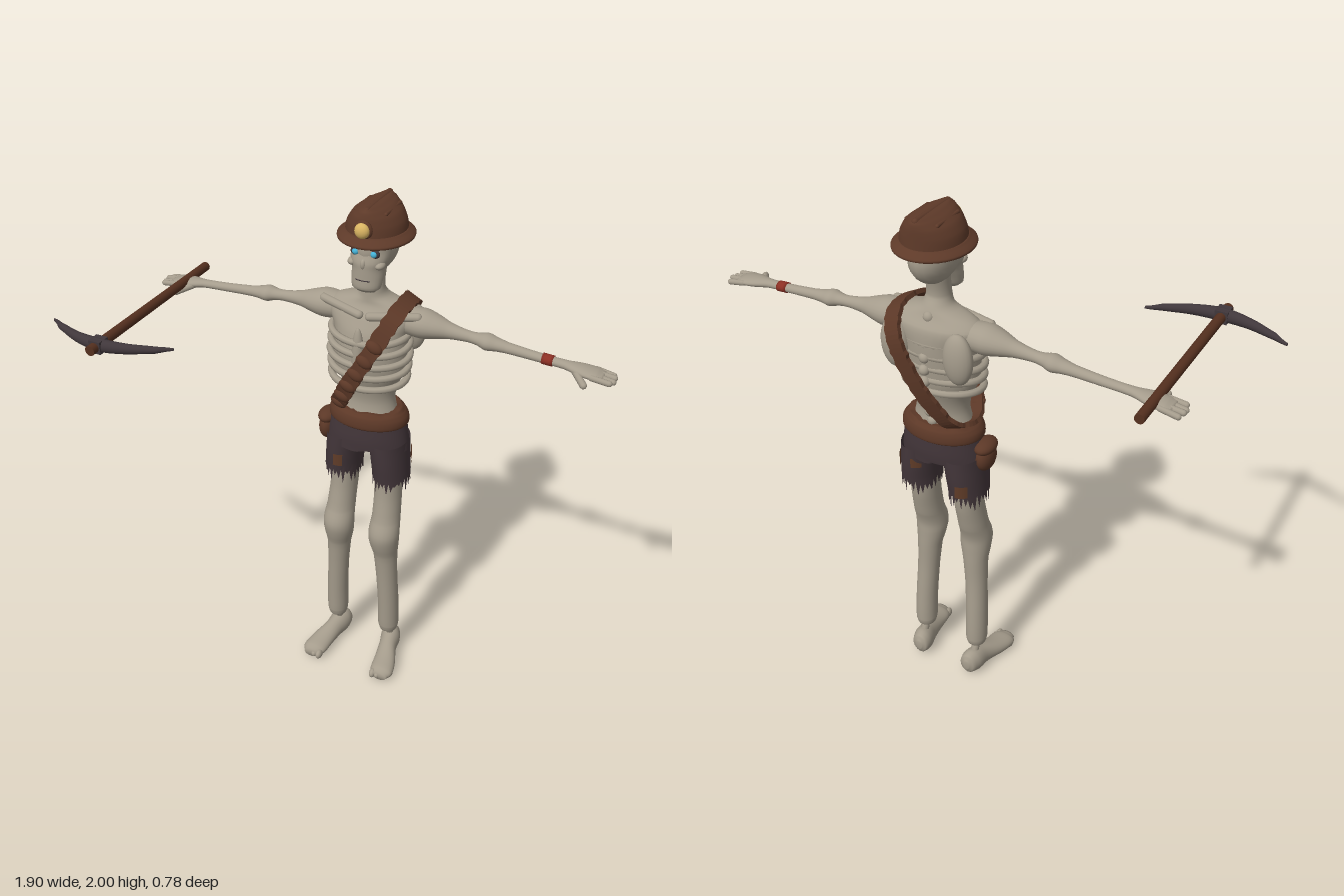
import * as THREE from 'three';

const paint = (name, color, side = THREE.FrontSide) => {
  const m = new THREE.MeshStandardMaterial({ color, side });
  m.name = name;
  return m;
};
const V = (x, y, z) => new THREE.Vector3(x, y, z);
const noise = (k) => { const s = Math.sin(k * 127.1 + 3.7) * 43758.5453; return s - Math.floor(s); };

// Smooth skin over elliptical sections [t, a, ra, b, rb]; t runs upward along the axis.
// Axis x: a = y, b = z.  Axis y: a = z, b = x.  Axis z: a = x, b = y.
function loft(axis, sections, { n = 24, steps = 4, capped = true, warp = null } = {}) {
  const pos = [], idx = [], rings = (sections.length - 1) * steps + 1;
  const at = (i) => sections[Math.min(Math.max(i, 0), sections.length - 1)];
  const put = (t, a, b) => pos.push(...(axis === 'x' ? [t, a, b] : axis === 'y' ? [b, t, a] : [a, b, t]));
  for (let r = 0; r < rings; r++) {
    const i = Math.min(Math.floor(r / steps), sections.length - 2), f = r / steps - i;
    const [t, a, ra, b, rb] = [0, 1, 2, 3, 4].map((c) => {
      const [p, q, s, u] = [at(i - 1)[c], at(i)[c], at(i + 1)[c], at(i + 2)[c]];
      if (c === 0) return q + (s - q) * f;
      return q + 0.5 * f * (s - p + f * (2 * p - 5 * q + 4 * s - u + f * (3 * (q - s) + u - p)));
    });
    for (let j = 0; j < n; j++) {
      const w = (j / n) * Math.PI * 2;
      put(t + (warp ? warp(r, j, rings) : 0), a + Math.max(ra, 0.0005) * Math.cos(w), b + Math.max(rb, 0.0005) * Math.sin(w));
    }
  }
  for (let r = 0; r < rings - 1; r++) for (let j = 0; j < n; j++) {
    const p = r * n + j, q = r * n + (j + 1) % n;
    idx.push(p, q, p + n, q, q + n, p + n);
  }
  if (capped) {
    const first = sections[0], last = at(99), c = rings * n, top = (rings - 1) * n;
    put(first[0], first[1], first[3]);
    put(last[0], last[1], last[3]);
    for (let j = 0; j < n; j++) {
      const k = (j + 1) % n;
      idx.push(c, k, j, c + 1, top + j, top + k);
    }
  }
  const g = new THREE.BufferGeometry();
  g.setAttribute('position', new THREE.Float32BufferAttribute(pos, 3));
  g.setIndex(idx);
  g.computeVertexNormals();
  return g;
}

const ball = (x, y, z, rx, ry = rx, rz = rx) => new THREE.SphereGeometry(1, 20, 14).scale(rx, ry, rz).translate(x, y, z);

// Round-ended rod between two points
function rod(a, b, r) {
  const d = b.clone().sub(a), q = new THREE.Quaternion().setFromUnitVectors(V(0, 1, 0), d.clone().normalize());
  const mid = a.clone().add(b).multiplyScalar(0.5);
  return new THREE.CapsuleGeometry(r, d.length(), 5, 10).applyQuaternion(q).translate(mid.x, mid.y, mid.z);
}

// Reflects a geometry to the other side, keeping faces outward
function flip(g) {
  g.scale(-1, 1, 1);
  const ix = g.index;
  for (let i = 0; i < ix.count; i += 3) {
    const t = ix.getX(i);
    ix.setX(i, ix.getX(i + 1));
    ix.setX(i + 1, t);
  }
  return g;
}

export function createModel() {
  const bone = paint('bone', 0xa59c8c), leather = paint('leather', 0x5c3827), hat = paint('helmet brown', 0x5e3a29);
  const cloth = paint('dark cloth', 0x43363a, THREE.DoubleSide), patchM = paint('patch brown', 0x603c28, THREE.DoubleSide);
  const wood = paint('wood', 0x55301f), iron = paint('dark iron', 0x40373b);
  const gold = paint('lamp yellow', 0xd9b462), glow = paint('eye blue', 0x45b4da), red = paint('band red', 0x8c3024);

  const root = new THREE.Group(), body = new THREE.Group();
  body.name = 'skeletonMiner';
  body.position.x = 0.065;
  root.add(body);
  const add = (name, geo, mat, parent = body) => {
    const m = new THREE.Mesh(geo, mat);
    m.name = name;
    parent.add(m);
    return m;
  };
  const pair = (name, make, mat) => {
    add('left ' + name, make(), mat);
    add('right ' + name, flip(make()), mat);
  };

  // Torso, neck and ribs
  add('torso', loft('y', [
    [1.17, -0.22, 0.09, 0, 0.12], [1.25, -0.22, 0.075, 0, 0.1], [1.31, -0.22, 0.083, 0, 0.105], [1.38, -0.22, 0.105, 0, 0.135],
    [1.46, -0.22, 0.113, 0, 0.14], [1.54, -0.228, 0.108, 0, 0.145], [1.6, -0.24, 0.09, 0, 0.175], [1.632, -0.24, 0.065, 0, 0.14],
    [1.66, -0.235, 0.055, 0, 0.06], [1.7, -0.225, 0.042, 0, 0.042], [1.8, -0.24, 0.045, 0, 0.045]], { n: 36 }), bone);
  for (let i = 0; i < 5; i++) {
    const pts = [], rx = 0.15 - 0.003 * Math.abs(i - 2);
    for (let k = 0; k < 20; k++) {
      const w = (k / 20) * Math.PI * 2;
      pts.push(V(rx * Math.sin(w), 1.355 + i * 0.045 - 0.014 * Math.cos(w), -0.212 + 0.112 * Math.cos(w)));
    }
    add('rib', new THREE.TubeGeometry(new THREE.CatmullRomCurve3(pts, true), 48, 0.013, 8, true), bone);
  }
  add('sternum', ball(0, 1.47, -0.105, 0.022, 0.11, 0.018), bone);
  for (let i = 0; i < 10; i++) add('vertebra', ball(0, 1.23 + i * 0.045, -0.293 - 0.04 * Math.sin((i / 9) * Math.PI), 0.02, 0.02, 0.018), bone);
  pair('shoulderBlade', () => ball(0.12, 1.52, -0.315, 0.055, 0.095, 0.035), bone);
  pair('collarbone', () => rod(V(0.02, 1.605, -0.155), V(0.18, 1.615, -0.205), 0.016), bone);

  // Arms and hands
  pair('arm', () => loft('x', [
    [0.13, 1.58, 0.048, -0.24, 0.055], [0.19, 1.58, 0.052, -0.24, 0.06], [0.235, 1.578, 0.042, -0.24, 0.05], [0.29, 1.573, 0.028, -0.24, 0.03],
    [0.36, 1.568, 0.02, -0.24, 0.021], [0.395, 1.566, 0.022, -0.24, 0.026], [0.425, 1.564, 0.029, -0.24, 0.036], [0.46, 1.561, 0.023, -0.24, 0.028],
    [0.5, 1.557, 0.019, -0.24, 0.021], [0.6, 1.55, 0.016, -0.239, 0.018], [0.7, 1.545, 0.015, -0.238, 0.02], [0.76, 1.54, 0.017, -0.237, 0.038],
    [0.81, 1.536, 0.014, -0.237, 0.042], [0.835, 1.533, 0.008, -0.237, 0.038]]), bone);
  for (let f = 0; f < 4; f++) {
    const z = -0.27 + f * 0.022, end = 0.872 - 0.008 * Math.abs(f - 1.5);
    pair('finger', () => rod(V(0.8, 1.536, z), V(end, 1.525 + 0.004 * (f % 2), z), 0.0105), bone);
  }
  pair('thumb', () => rod(V(0.74, 1.537, -0.22), V(0.785, 1.523, -0.166), 0.012), bone);
  add('wristBand', loft('x', [[0.622, 1.549, 0.0185, -0.239, 0.0215], [0.66, 1.547, 0.0185, -0.239, 0.0215]]), red);

  // Skull
  add('cranium', ball(0, 1.845, -0.246, 0.076, 0.1, 0.109), bone);
  add('face', loft('y', [
    [1.7, -0.165, 0.02, 0, 0.035], [1.715, -0.167, 0.038, 0, 0.052], [1.75, -0.175, 0.046, 0, 0.057], [1.785, -0.185, 0.056, 0, 0.058],
    [1.81, -0.195, 0.065, 0, 0.068], [1.845, -0.21, 0.068, 0, 0.072], [1.9, -0.225, 0.085, 0, 0.072]]), bone);
  add('nose', ball(0, 1.805, -0.138, 0.011, 0.02, 0.013), bone);
  add('mouth', ball(0, 1.748, -0.134, 0.028, 0.003, 0.006), iron);
  add('brow', rod(V(-0.045, 1.872, -0.155), V(0.045, 1.872, -0.155), 0.014), bone);
  pair('cheekbone', () => ball(0.05, 1.8, -0.165, 0.018, 0.014, 0.025), bone);
  pair('eyeSocket', () => ball(0.034, 1.843, -0.152, 0.02, 0.016, 0.01), iron);
  pair('eye', () => ball(0.034, 1.843, -0.146, 0.012, 0.011, 0.009), glow);

  // Miner's helmet with a front-to-back ridge and lamp
  add('helmetCrown', loft('y', [
    [1.885, -0.245, 0.12, 0, 0.108], [1.93, -0.246, 0.118, 0, 0.1], [1.962, -0.248, 0.115, 0, 0.08],
    [1.983, -0.25, 0.11, 0, 0.052], [1.994, -0.252, 0.1, 0, 0.025], [1.996, -0.252, 0.08, 0, 0.004]], { n: 36 }), hat);
  add('helmetBrim', loft('y', [
    [1.872, -0.243, 0.138, 0, 0.124], [1.876, -0.243, 0.147, 0, 0.132], [1.886, -0.243, 0.145, 0, 0.13], [1.905, -0.244, 0.118, 0, 0.105]], { n: 36 }), hat);
  add('helmetRidge', rod(V(0, 1.986, -0.16), V(0, 1.988, -0.345), 0.012), hat);
  pair('helmetRib', () => rod(V(0.055, 1.972, -0.19), V(0.055, 1.972, -0.31), 0.007), hat);
  add('lampMount', ball(0, 1.93, -0.132, 0.034, 0.034, 0.014), leather);
  add('lamp', ball(0, 1.93, -0.122, 0.027, 0.027, 0.02), gold);

  // Legs and feet
  pair('leg', () => loft('y', [
    [0.132, -0.213, 0.022, 0.117, 0.022], [0.145, -0.213, 0.038, 0.117, 0.036], [0.175, -0.212, 0.046, 0.117, 0.042], [0.3, -0.205, 0.046, 0.115, 0.042],
    [0.45, -0.194, 0.045, 0.108, 0.043], [0.56, -0.187, 0.05, 0.102, 0.048], [0.63, -0.175, 0.06, 0.098, 0.059], [0.68, -0.173, 0.062, 0.098, 0.061],
    [0.74, -0.192, 0.06, 0.097, 0.056], [0.85, -0.212, 0.062, 0.093, 0.053], [1.0, -0.22, 0.065, 0.088, 0.055], [1.12, -0.22, 0.06, 0.08, 0.055]]), bone);
  pair('ankle', () => rod(V(0.119, 0.09, -0.235), V(0.118, 0.14, -0.217), 0.016), bone);
  pair('foot', () => loft('z', [
    [-0.292, 0.112, 0.012, 0.06, 0.02], [-0.28, 0.113, 0.033, 0.06, 0.044], [-0.245, 0.118, 0.042, 0.058, 0.054], [-0.19, 0.128, 0.038, 0.05, 0.046],
    [-0.12, 0.146, 0.046, 0.038, 0.035], [-0.06, 0.155, 0.048, 0.031, 0.028], [-0.03, 0.158, 0.03, 0.028, 0.018]]), bone);
  for (let t = 0; t < 4; t++) pair('toe', () => ball(0.125 + t * 0.021, 0.025, -0.042 - t * t * 0.003, 0.014, 0.02 - t * 0.002, 0.022), bone);
  add('pelvis', ball(0, 1.07, -0.215, 0.06, 0.055, 0.06), bone);

  // Torn shorts: hips plus two ragged legs
  add('shortsHips', loft('y', [
    [1.055, -0.22, 0.105, 0, 0.163], [1.11, -0.221, 0.109, 0, 0.156], [1.18, -0.222, 0.107, 0, 0.145]],
  { n: 48, capped: false, warp: (r, j) => (r === 0 && j % 24 < 4 ? 0.02 * noise(j) : 0) }), cloth);
  pair('shortsLeg', () => loft('y', [
    [0.915, -0.222, 0.088, 0.1, 0.07], [1.0, -0.222, 0.098, 0.094, 0.071], [1.09, -0.221, 0.102, 0.086, 0.073]],
  { n: 56, capped: false, warp: (r, j) => (r === 0 ? (j % 2 ? 0.035 : -0.045) * noise(j) : 0) }), cloth);
  const patch = (x, y, h, start, len) => add('patch', new THREE.CylinderGeometry(1, 1, h, 8, 1, true, start, len)
    .scale(0.074, 1, 0.102).translate(x, y, -0.222), patchM);
  patch(-0.095, 0.99, 0.05, -0.1, 0.5);
  patch(0.095, 1.0, 0.06, 1.9, 0.5);
  patch(-0.095, 0.97, 0.05, 3.2, 0.6);
  patch(0.095, 1.03, 0.04, 3.3, 0.5);

  // Belt and pouch
  add('belt', loft('y', [
    [1.155, -0.222, 0.105, 0, 0.146], [1.165, -0.222, 0.114, 0, 0.155], [1.19, -0.222, 0.113, 0, 0.153], [1.21, -0.222, 0.106, 0, 0.14], [1.218, -0.222, 0.09, 0, 0.125]],
  { n: 48, warp: (r, j, rings) => (r > rings - 4 ? 0.008 * noise(j) : 0) }), leather);
  add('pouch', ball(-0.163, 1.085, -0.212, 0.034, 0.058, 0.052), leather);
  add('pouchFlap', ball(-0.163, 1.128, -0.212, 0.038, 0.027, 0.055), leather);

  // Shoulder strap: a flat ribbon around the chest, with ragged edges
  const path = new THREE.CatmullRomCurve3([
    [0.125, 1.648, -0.24], [0.115, 1.625, -0.15], [0.07, 1.53, -0.096], [0.016, 1.43, -0.081], [-0.04, 1.33, -0.096], [-0.083, 1.25, -0.135], [-0.112, 1.215, -0.21],
    [-0.085, 1.24, -0.3], [-0.03, 1.33, -0.345], [0.04, 1.46, -0.37], [0.095, 1.58, -0.362], [0.12, 1.635, -0.31]].map((p) => V(...p)), true);
  const frame = (u) => {
    const p = path.getPointAt(u), t = path.getTangentAt(u), c = V(0.02, 1.44, -0.225);
    const out = p.clone().sub(c).addScaledVector(t, -p.clone().sub(c).dot(t)).normalize();
    return { p, t, out, across: t.clone().cross(out) };
  };
  const pos = [], idx = [], N = 90;
  for (let i = 0; i < N; i++) {
    const { p, out, across } = frame(i / N);
    [[-1, -1], [1, -1], [1, 1], [-1, 1]].forEach(([a, o]) => pos.push(...p.clone()
      .addScaledVector(across, a * (0.027 + 0.007 * noise(i * 2 + a))).addScaledVector(out, o * 0.008).toArray()));
    for (let k = 0; k < 4; k++) {
      const a = i * 4 + k, b = i * 4 + (k + 1) % 4, c = ((i + 1) % N) * 4 + k, d = ((i + 1) % N) * 4 + (k + 1) % 4;
      idx.push(a, b, c, b, d, c);
    }
  }
  let strap = new THREE.BufferGeometry();
  strap.setAttribute('position', new THREE.Float32BufferAttribute(pos, 3));
  strap.setIndex(idx);
  strap = strap.toNonIndexed();
  strap.computeVertexNormals();
  const strapM = paint('leather', 0x5c3827, THREE.DoubleSide);
  add('shoulderStrap', strap, strapM);
  for (let i = 0; i < 6; i++) {
    const { p, t, out, across } = frame(0.17 + i * 0.052);
    const g = ball(0, 0, 0, 0.033, 0.021, 0.016).applyMatrix4(new THREE.Matrix4().makeBasis(across, t, out.clone()));
    // basis may be left-handed on the ribbon, so build it from a cross product
    const safe = across.clone().cross(t).dot(out) > 0 ? g : flip(g).scale(-1, 1, 1);
    add('strapPouch', safe.translate(p.x, p.y, p.z).translate(out.x * 0.006, out.y * 0.006, out.z * 0.006), leather);
  }

  // Pickaxe held in the right hand
  const pick = new THREE.Group();
  pick.name = 'pickaxe';
  pick.position.set(-0.71, 1.547, 0);
  root.add(pick);
  add('pickHandle', new THREE.CylinderGeometry(0.0185, 0.0175, 0.76, 16).rotateX(Math.PI / 2).translate(0, 0, 0.012), wood, pick);
  const half = [[0.25, 0, 0.005, 0.257, 0.005], [0.2, 0, 0.012, 0.286, 0.013], [0.1, 0, 0.019, 0.325, 0.018]];
  add('pickHead', loft('x', [...half.map(([x, ...r]) => [-x, ...r]), [0, 0, 0.024, 0.34, 0.022], ...half.reverse()]), iron, pick);
  add('pickCollar', new THREE.BoxGeometry(0.046, 0.046, 0.05).translate(0, 0, 0.34), iron, pick);

  return root;
}
